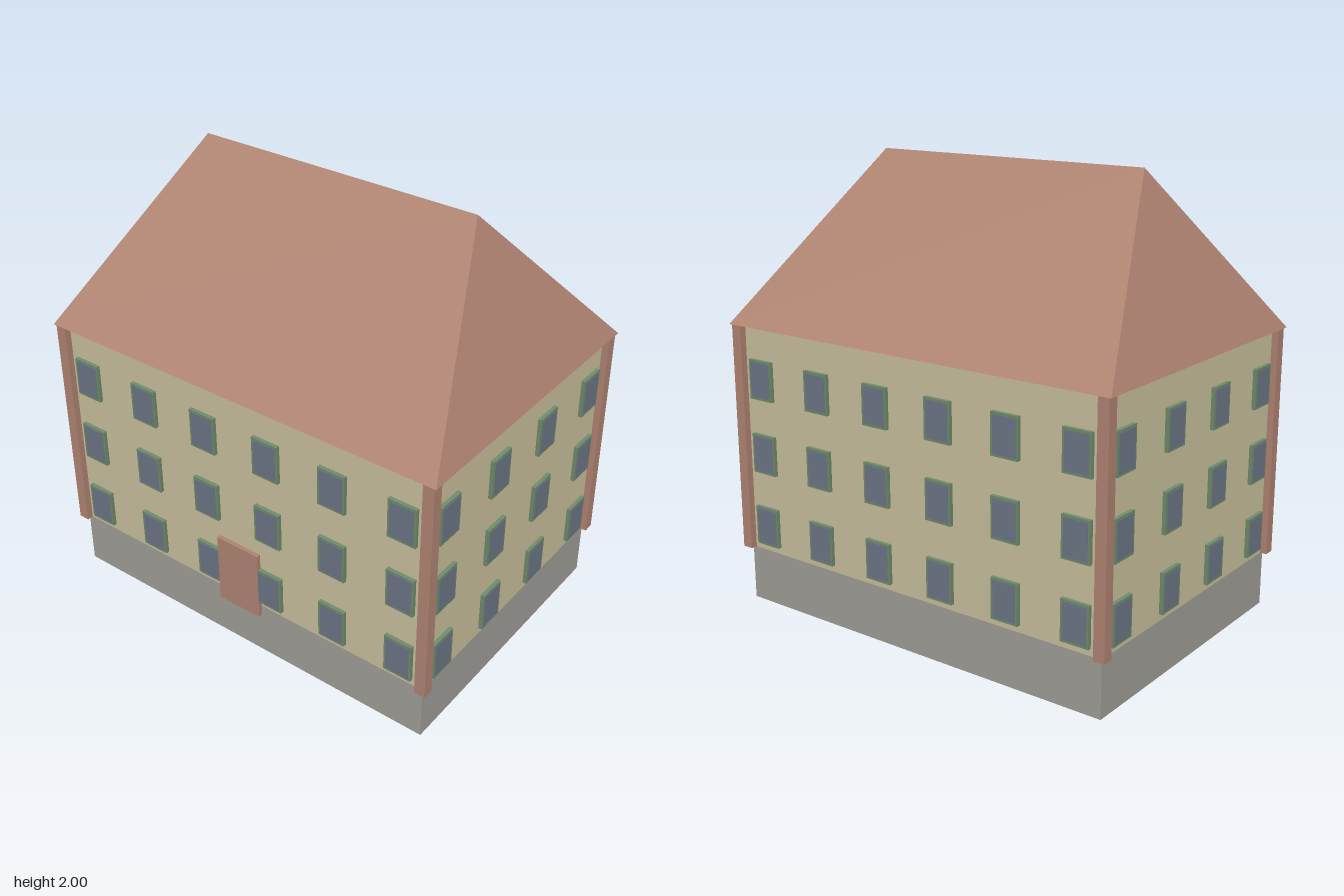
import * as THREE from 'three';

const paint = (name, color) => Object.assign(new THREE.MeshStandardMaterial({ color }), { name });

export function createModel() {
  const stone = paint('stone grey', 0xa19e98);
  const plaster = paint('cream plaster', 0xc9c09d);
  const brick = paint('brick brown', 0xb08472);
  const frameGreen = paint('frame green', 0x6f8c6c);
  const glassBlue = paint('glass blue', 0x6c7685);

  const house = new THREE.Group();
  house.name = 'house';

  const W = 0.94, D = 0.66;           // half width and half depth of the walls
  const plinthTop = 0.25, eaves = 1.28, ridge = 2;

  const box = (parent, name, mat, size, pos) => {
    const mesh = new THREE.Mesh(new THREE.BoxGeometry(...size), mat);
    mesh.name = name;
    mesh.position.set(...pos);
    parent.add(mesh);
    return mesh;
  };

  // Plinth and walls
  box(house, 'plinth', stone, [2 * W, plinthTop, 2 * D], [0, plinthTop / 2, 0]);
  const wallHeight = eaves - plinthTop;
  box(house, 'walls', plaster, [2 * W, wallHeight, 2 * D], [0, plinthTop + wallHeight / 2, 0]);

  // Corner pillars
  for (const sx of [-1, 1]) for (const sz of [-1, 1]) {
    box(house, 'cornerPillar', brick, [0.05, wallHeight, 0.05],
      [sx * 0.945, plinthTop + wallHeight / 2, sz * 0.665]);
  }

  // Window rows, one group per side of the house
  const addFacade = (name, columns, distance, angle) => {
    const facade = new THREE.Group();
    facade.name = name;
    facade.rotation.y = angle;
    for (const y of [0.37, 0.708, 1.045]) for (const x of columns) {
      box(facade, 'windowFrame', frameGreen, [0.13, 0.178, 0.034], [x, y, distance]);
      box(facade, 'windowGlass', glassBlue, [0.11, 0.158, 0.004], [x, y, distance + 0.017]);
    }
    house.add(facade);
  };
  const longSide = [-0.825, -0.495, -0.165, 0.165, 0.495, 0.825];
  const shortSide = [-0.544, -0.181, 0.181, 0.544];
  addFacade('frontWindows', longSide, D, 0);
  addFacade('backWindows', longSide, D, Math.PI);
  addFacade('leftWindows', shortSide, W, Math.PI / 2);
  addFacade('rightWindows', shortSide, W, -Math.PI / 2);

  // Door
  box(house, 'door', brick, [0.22, 0.33, 0.04], [0, 0.365, D]);

  // Hipped roof: four eaves corners and two ridge ends
  const X = 0.98, Z = 0.696, R = 0.67;
  const points = [
    [-X, eaves, Z], [X, eaves, Z], [X, eaves, -Z], [-X, eaves, -Z],
    [-R, ridge, 0], [R, ridge, 0],
  ];
  const faces = [
    0, 1, 5, 0, 5, 4,   // front slope
    2, 3, 4, 2, 4, 5,   // back slope
    1, 2, 5, 3, 0, 4,   // hips
    0, 3, 2, 0, 2, 1,   // underside
  ];
  const roofGeometry = new THREE.BufferGeometry();
  roofGeometry.setAttribute('position',
    new THREE.Float32BufferAttribute(faces.flatMap((i) => points[i]), 3));
  roofGeometry.computeVertexNormals();
  const roof = new THREE.Mesh(roofGeometry, brick);
  roof.name = 'roof';
  house.add(roof);

  return house;
}
